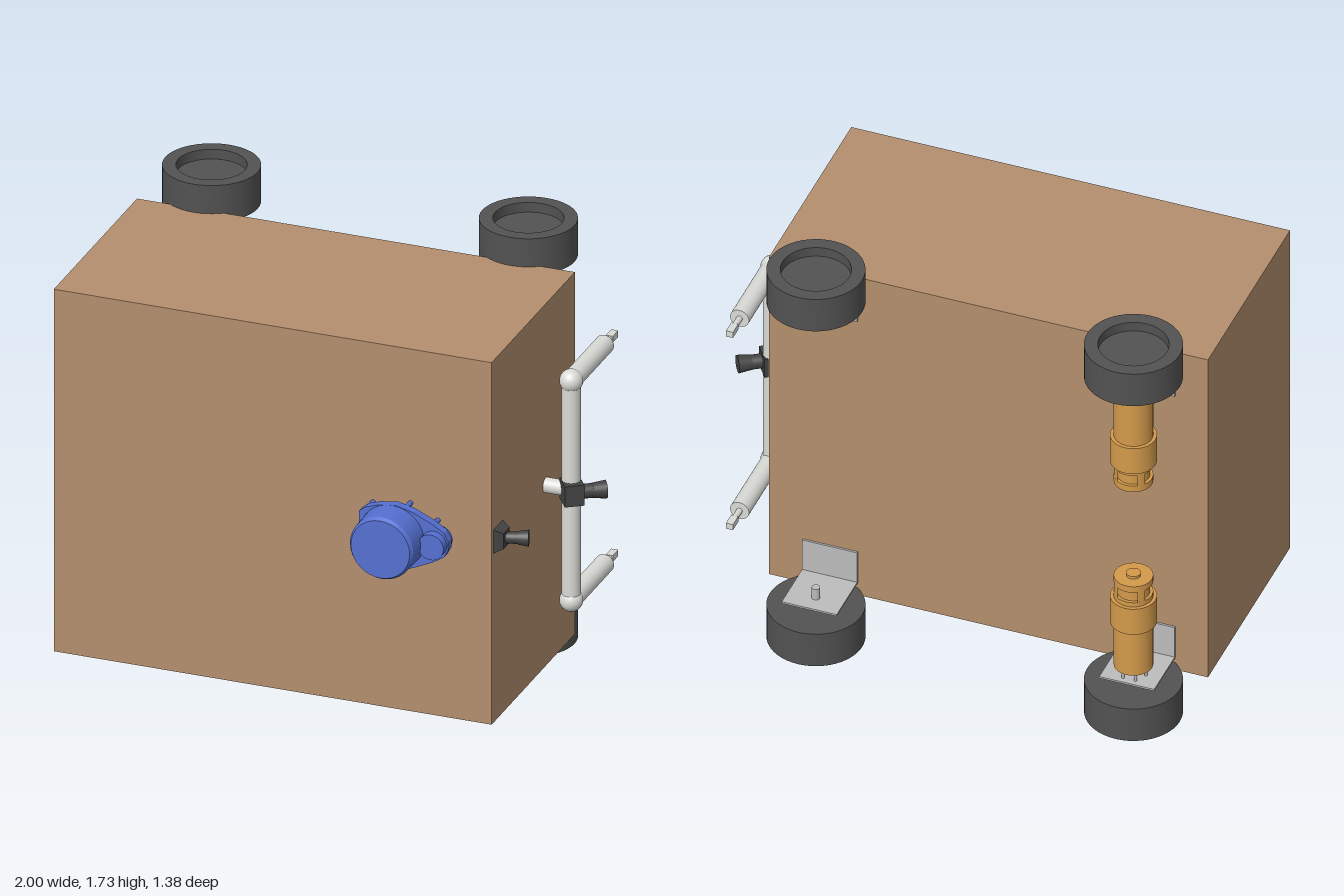
import * as THREE from 'three';
import { toCreasedNormals } from 'three/addons/utils/BufferGeometryUtils.js';

const mat = (name, color, side = THREE.FrontSide) => {
  const m = new THREE.MeshStandardMaterial({ color, side });
  m.name = name;
  return m;
};
const V = (x, y, z) => new THREE.Vector3(x, y, z);
const MID = 0.863; // height of the mirror plane

export function createModel() {
  const root = new THREE.Group();
  root.name = 'rover';
  const tan = mat('cardboardTan', 0xb38f6d);
  const rubber = mat('wheelGrey', 0x525252);
  const orange = mat('motorOrange', 0xd39a4b);
  const metal = mat('bracketGrey', 0xbdbdbd);
  const pipe = mat('pipeWhite', 0xdadad6);
  const black = mat('cameraBlack', 0x434343);
  const blue = mat('scannerBlue', 0x5570d2);

  const add = (name, geo, material, parent = root) => {
    const m = new THREE.Mesh(geo, material);
    m.name = name;
    parent.add(m);
    return m;
  };
  const box = (name, w, h, d, x, y, z, material, parent) => {
    const m = add(name, new THREE.BoxGeometry(w, h, d), material, parent);
    m.position.set(x, y, z);
    return m;
  };
  // cylinder between two points
  const rod = (name, a, b, r0, r1, material, parent, sides = 24) => {
    const m = add(name, new THREE.CylinderGeometry(r1, r0, a.distanceTo(b), sides), material, parent);
    m.position.copy(a).lerp(b, 0.5);
    m.quaternion.setFromUnitVectors(V(0, 1, 0), b.clone().sub(a).normalize());
    return m;
  };
  const lathe = (pts) => toCreasedNormals(
    new THREE.LatheGeometry(pts.map(p => new THREE.Vector2(...p)), 48), 0.6);

  box('body', 1.755, 1.494, 0.85, -0.1225, MID, 0.065, tan);

  // Wheels, brackets, axles and motors
  const wheelGeo = lathe([[0, 0.04], [0.133, 0.04], [0.133, 0], [0.185, 0], [0.185, 0.15], [0, 0.15]]);
  const motorGeo = lathe([[0, 0.222], [0.074, 0.222], [0.074, 0.425], [0.088, 0.425], [0.088, 0.545],
    [0.074, 0.545], [0.074, 0.565], [0.062, 0.565], [0.062, 0.612], [0.074, 0.612], [0.074, 0.64],
    [0.027, 0.64], [0.027, 0.652], [0, 0.652]]);
  for (const x of [-0.76, 0.51]) {
    for (const top of [false, true]) {
      const unit = new THREE.Group();
      unit.name = (top ? 'upper' : 'lower') + (x > 0 ? 'Front' : 'Rear') + 'WheelUnit';
      unit.position.set(x, top ? 2 * MID : 0, -0.51);
      unit.rotation.x = top ? Math.PI : 0; // upper units are turned over
      root.add(unit);
      add('wheel', wheelGeo, rubber, unit);
      rod('axle', V(0, 0.14, 0), V(0, 0.23, 0), 0.016, 0.016, metal, unit);

      const s = top ? -1 : 1; // keeps the bracket on the body side
      box('bracketPlate', 0.22, 0.008, 0.22, 0, 0.177, 0.04 * s, metal, unit);
      box('bracketFlange', 0.22, 0.145, 0.008, 0, 0.247, 0.146 * s, metal, unit);

      if (x < 0) {
        add('motor', motorGeo, orange, unit);
        // webs between the motor's vent windows
        for (let i = 0; i < 4; i++) {
          const web = add('motorVentWeb', new THREE.CylinderGeometry(0.0738, 0.0738, 0.05, 6, 1, true,
            Math.PI / 4 - 0.2 + i * Math.PI / 2, 0.4), orange, unit);
          web.position.y = 0.5885;
        }
        for (let i = 0; i < 6; i++) {
          const a = i * Math.PI / 3;
          rod('mountScrew', V(0.05 * Math.cos(a), 0.165, 0.05 * Math.sin(a)),
            V(0.05 * Math.cos(a), 0.222, 0.05 * Math.sin(a)), 0.006, 0.006, metal, unit, 8);
        }
      }
    }
  }

  // Pipe frame on the left side
  const fx = 0.86, fz = -0.055;
  const frame = new THREE.Group();
  frame.name = 'pipeFrame';
  root.add(frame);
  rod('mainPipe', V(fx, 0.41, fz), V(fx, 1.315, fz), 0.036, 0.036, pipe, frame);
  rod('mountStub', V(0.75, MID, -0.062), V(fx, MID, -0.062), 0.03, 0.03, pipe, frame);
  for (const y of [0.41, 1.315]) {
    add('elbow', new THREE.SphereGeometry(0.045, 24, 16), pipe, frame).position.set(fx, y, fz);
    rod('arm', V(fx, y, fz), V(fx, y, -0.395), 0.038, 0.038, pipe, frame);
    rod('armTip', V(fx, y, -0.39), V(fx, y, -0.45), 0.012, 0.012, pipe, frame, 12);
    box('armBlade', 0.028, 0.026, 0.055, fx, y, -0.472, pipe, frame);
  }

  // Camera clamped on the pipe
  const pipeCam = new THREE.Group();
  pipeCam.name = 'pipeCamera';
  root.add(pipeCam);
  box('clamp', 0.075, 0.085, 0.085, 0.868, MID, -0.043, black, pipeCam).rotation.y = 0.61;
  rod('lensBarrel', V(0.88, MID, -0.045), V(0.945, MID, -0.087), 0.028, 0.028, black, pipeCam);
  rod('lensHood', V(0.935, MID, -0.08), V(0.978, MID, -0.11), 0.029, 0.035, black, pipeCam);

  // Camera on the body
  const sideCam = new THREE.Group();
  sideCam.name = 'sideCamera';
  root.add(sideCam);
  const foot = add('foot', new THREE.CylinderGeometry(0.045, 0.068, 0.035, 4, 1).rotateY(Math.PI / 4)
    .toNonIndexed(), black, sideCam);
  foot.geometry.computeVertexNormals();
  foot.rotation.z = -Math.PI / 2;
  foot.position.set(0.772, MID, 0.425);
  rod('lensBarrel', V(0.775, MID, 0.422), V(0.84, MID, 0.402), 0.022, 0.024, black, sideCam);
  rod('lensHood', V(0.83, MID, 0.405), V(0.867, MID, 0.394), 0.026, 0.032, black, sideCam);

  // Spinning scanner on the front face
  const scanner = new THREE.Group();
  scanner.name = 'scanner';
  scanner.position.set(0, MID, 0);
  root.add(scanner);
  const half = [[0.255, 0.085], [0.28, 0.105], [0.33, 0.122], [0.4, 0.132], [0.47, 0.115],
    [0.55, 0.078], [0.595, 0.05], [0.612, 0.018]];
  const outline = [...half, ...half.map(([x, y]) => [x, -y]).reverse()].map(p => new THREE.Vector2(...p));
  const plate = add('scannerBase', new THREE.ExtrudeGeometry(new THREE.Shape(outline),
    { depth: 0.035, bevelEnabled: false }), blue, scanner);
  plate.position.z = 0.535;
  rod('scannerDrum', V(0.387, 0, 0.56), V(0.387, 0, 0.675), 0.13, 0.127, blue, scanner, 32);
  rod('scannerCap', V(0.387, 0, 0.675), V(0.387, 0, 0.69), 0.127, 0.118, blue, scanner, 32);
  rod('scannerMotor', V(0.555, 0, 0.512), V(0.555, 0, 0.605), 0.052, 0.052, blue, scanner);
  rod('scannerBearing', V(0.387, 0, 0.512), V(0.387, 0, 0.54), 0.035, 0.035, blue, scanner);
  for (const s of [-1, 1]) {
    rod('scannerPost', V(0.28, s * 0.09, 0.488), V(0.28, s * 0.09, 0.54), 0.01, 0.01, blue, scanner, 12);
    rod('scannerPost', V(0.43, s * 0.113, 0.488), V(0.43, s * 0.113, 0.54), 0.01, 0.01, blue, scanner, 12);
    rod('scannerPost', V(0.54, s * 0.06, 0.488), V(0.54, s * 0.06, 0.54), 0.01, 0.01, blue, scanner, 12);
  }
  return root;
}
